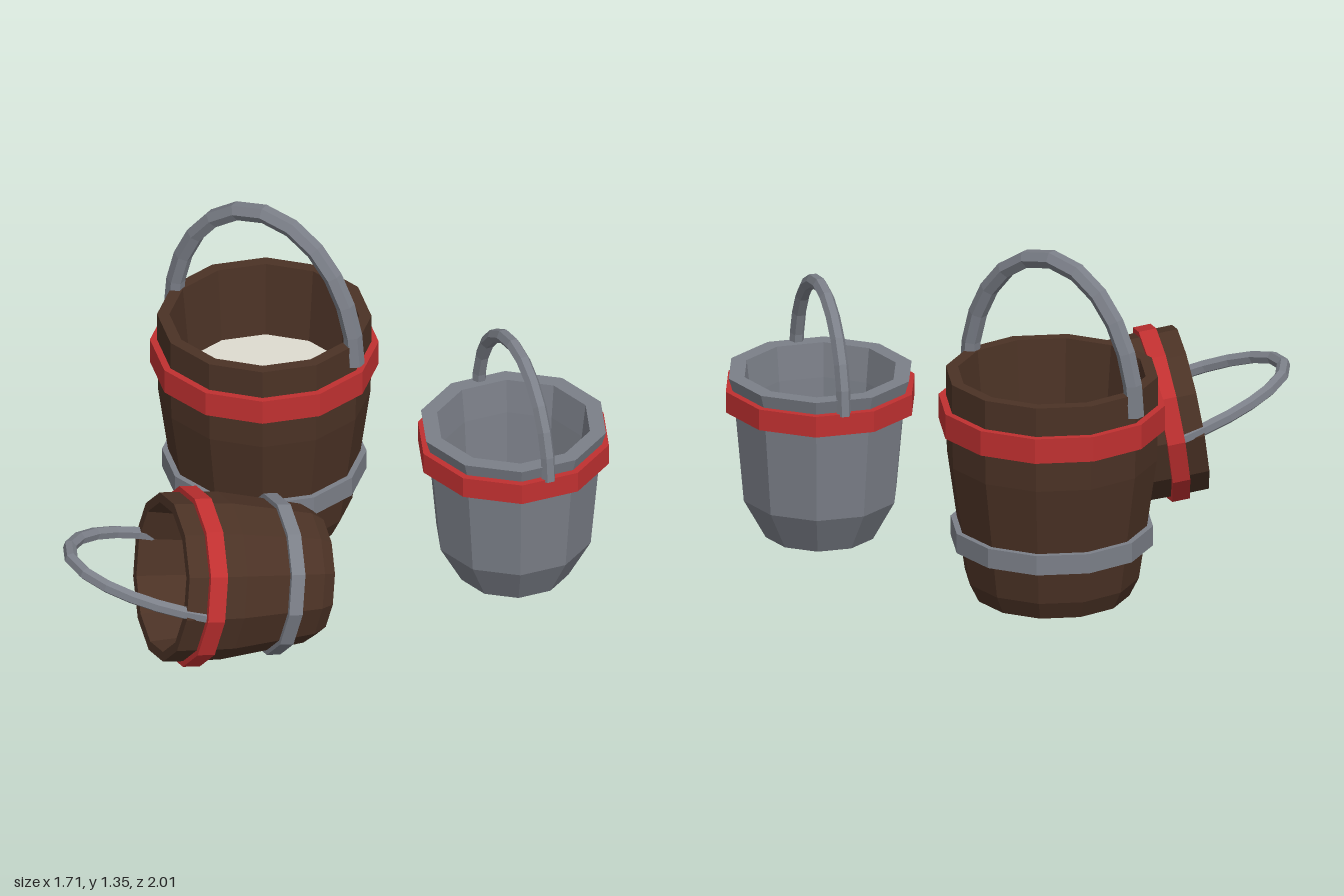
import * as THREE from 'three';

const mat = (name, color) => {
  const m = new THREE.MeshStandardMaterial({ color });
  m.name = name;
  return m;
};

// Split the faces so that every facet is flat
function faceted(geo) {
  const g = geo.index ? geo.toNonIndexed() : geo;
  g.computeVertexNormals();
  return g;
}

function addMesh(parent, name, geo, material) {
  const mesh = new THREE.Mesh(faceted(geo), material);
  mesh.name = name;
  parent.add(mesh);
  return mesh;
}

// Faceted solid of revolution from [radius, height] pairs, outside upward first
const turned = (profile, sides) =>
  new THREE.LatheGeometry(profile.map(([r, y]) => new THREE.Vector2(r, y)), sides);

// Flat hoop around a bucket
const hoop = (inner, outer, y0, y1, sides) =>
  turned([[inner, y0], [outer, y0], [outer, y1], [inner, y1], [inner, y0]], sides);

// Arched bail handle in the local xy plane, with closed ends
function handleArch(halfWidth, height, thickness) {
  const points = [];
  for (let i = 0; i <= 12; i++) {
    const a = Math.PI * (1 - i / 12);
    points.push(new THREE.Vector3(halfWidth * Math.cos(a), height * Math.sin(a), 0));
  }
  const section = new THREE.Shape();
  for (let i = 0; i < 6; i++) {
    const a = (i * Math.PI) / 3;
    const x = thickness * Math.cos(a), y = thickness * Math.sin(a);
    if (i) section.lineTo(x, y); else section.moveTo(x, y);
  }
  section.closePath();
  return new THREE.ExtrudeGeometry(section, {
    steps: 12, bevelEnabled: false, extrudePath: new THREE.CatmullRomCurve3(points),
  });
}

export function createModel() {
  const wood = mat('dark wood', 0x4b3225);
  const metal = mat('grey metal', 0x7b7f88);
  const red = mat('red paint', 0xc03030);
  const milk = mat('milk', 0xdedbd0);
  const model = new THREE.Group();
  model.name = 'buckets';

  // Wooden staves with a recessed underside, plus the two hoops
  function woodenBody(parent) {
    const body = new THREE.Group();
    body.name = 'woodenBody';
    parent.add(body);
    addMesh(body, 'staves', turned([
      [0, 0.13], [0.265, 0.13], [0.25, 0], [0.285, 0], [0.32, 0.07], [0.345, 0.24],
      [0.386, 0.53], [0.39, 0.68], [0.39, 0.855],
      [0.345, 0.855], [0.317, 0.57], [0.285, 0.27], [0.25, 0.17], [0, 0.17],
    ], 12), wood);
    addMesh(body, 'lowerHoop', hoop(0.33, 0.372, 0.2, 0.275, 12), metal);
    addMesh(body, 'upperHoop', hoop(0.37, 0.416, 0.65, 0.745, 12), red);
    return body;
  }

  // Large standing wooden bucket filled with milk
  const large = new THREE.Group();
  large.name = 'largeWoodenBucket';
  large.position.set(-0.447, 0.03, -0.325);
  large.rotation.y = THREE.MathUtils.degToRad(13);
  woodenBody(large);
  addMesh(large, 'milkSurface', turned([[0.325, 0.57], [0, 0.57]], 12), milk);
  addMesh(large, 'handle', handleArch(0.385, 0.52, 0.035), metal).position.y = 0.77;
  model.add(large);

  // Small empty wooden bucket lying on its side
  const fallen = new THREE.Group();
  fallen.name = 'fallenWoodenBucket';
  fallen.position.set(0.258, 0.3, 0.145);
  fallen.rotation.set(THREE.MathUtils.degToRad(81), THREE.MathUtils.degToRad(-28.7), 0, 'YXZ');
  woodenBody(fallen).scale.set(0.79, 0.69, 0.79);
  const fallenHandle = addMesh(fallen, 'handle', handleArch(0.29, 0.46, 0.025), metal);
  fallenHandle.position.y = 0.5;
  fallenHandle.rotation.x = THREE.MathUtils.degToRad(-11);
  model.add(fallen);

  // Metal bucket with a pointed base
  const pail = new THREE.Group();
  pail.name = 'metalBucket';
  pail.position.set(0.495, 0, -0.653);
  pail.rotation.y = THREE.MathUtils.degToRad(-23);
  addMesh(pail, 'shell', turned([
    [0, 0.005], [0.205, 0.06], [0.288, 0.21], [0.32, 0.56], [0.33, 0.64], [0.345, 0.69],
    [0.285, 0.69], [0.27, 0.56], [0.25, 0.22], [0.2, 0.12], [0, 0.07],
  ], 10), metal);
  addMesh(pail, 'rimHoop', hoop(0.31, 0.356, 0.56, 0.64, 10), red);
  addMesh(pail, 'handle', handleArch(0.325, 0.39, 0.027), metal).position.y = 0.63;
  model.add(pail);

  return model;
}
